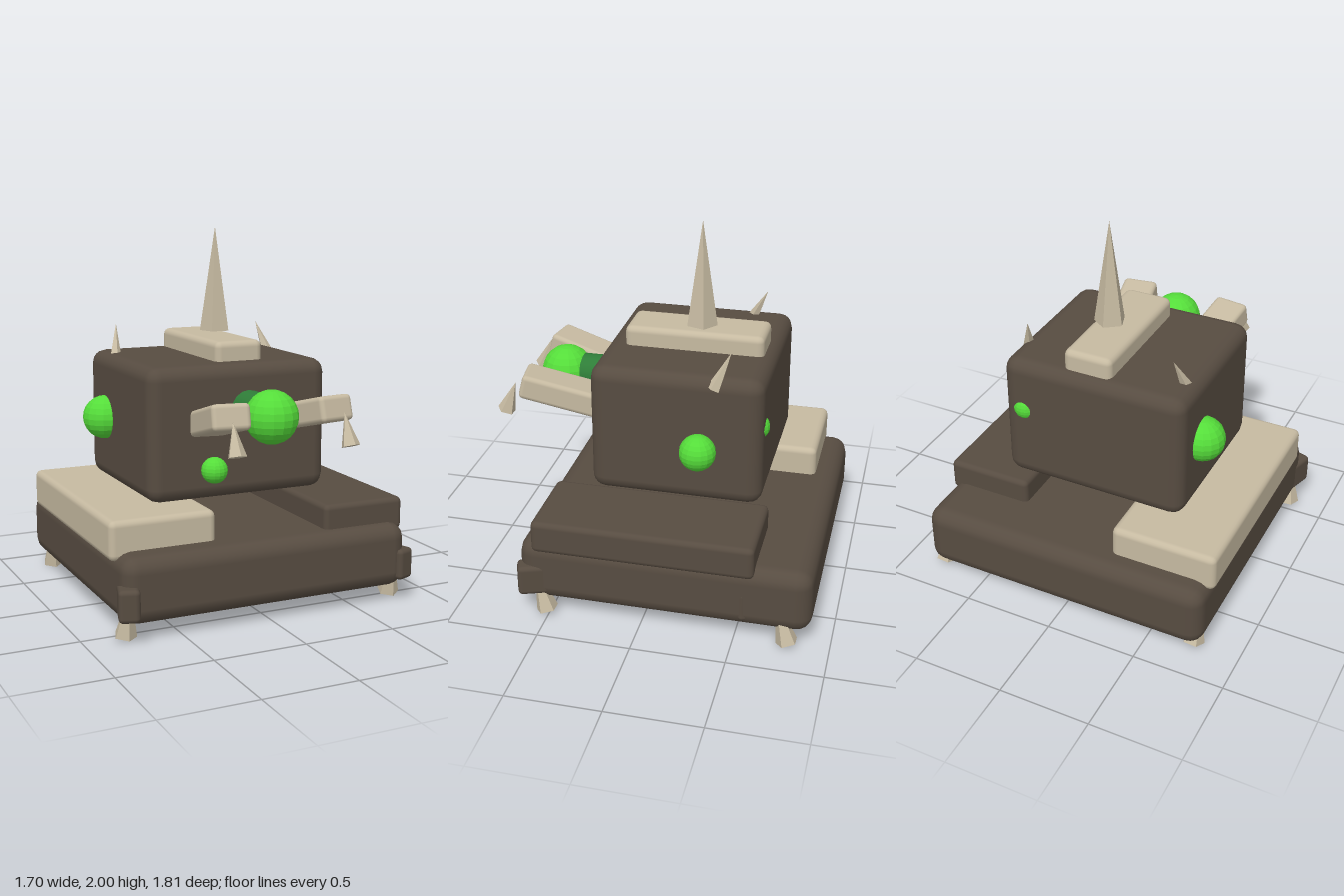
import * as THREE from 'three';
import { RoundedBoxGeometry } from 'three/addons/geometries/RoundedBoxGeometry.js';

const mat = (color, flatShading = false) => {
  const m = new THREE.MeshStandardMaterial({ color });
  m.flatShading = flatShading;
  return m;
};
const hide = mat(0x574c41), bone = mat(0xc6baa1), spike = mat(0xc6baa1, true);
const glow = mat(0x55dd3a, true), stem = mat(0x2f7d38);

export function createModel() {
  const group = new THREE.Group();
  const add = (name, geometry, material, position) => {
    const mesh = new THREE.Mesh(geometry, material);
    mesh.name = name;
    mesh.position.set(...position);
    group.add(mesh);
    return mesh;
  };

  // Rounded block given by its lower and upper corners
  const block = (name, lo, hi, radius, material) => {
    const size = hi.map((v, i) => v - lo[i]);
    return add(name, new RoundedBoxGeometry(...size, 2, radius), material, hi.map((v, i) => (v + lo[i]) / 2));
  };

  // Five-sided spike from the centre of its base to its tip
  const cone = (name, base, tip, radius, turn = 0) => {
    const from = new THREE.Vector3(...base), axis = new THREE.Vector3(...tip).sub(from);
    const length = axis.length();
    const geometry = new THREE.ConeGeometry(radius, length, 5).rotateY(turn).translate(0, length / 2, 0);
    const mesh = add(name, geometry, spike, base);
    mesh.quaternion.setFromUnitVectors(new THREE.Vector3(0, 1, 0), axis.normalize());
  };

  const ball = (name, position, radius) => add(name, new THREE.SphereGeometry(radius, 16, 12), glow, position);

  // Body and back plates
  block('base', [-0.82, 0.08, -0.9], [0.81, 0.43, 0.66], 0.085, hide);
  block('rightPlate', [-0.84, 0.38, -0.77], [-0.26, 0.59, 0.51], 0.035, bone);
  block('leftPlate', [0.34, 0.38, -0.6], [0.82, 0.56, 0.58], 0.03, hide);

  // Head with crest and horns
  block('head', [-0.56, 0.6, -0.57], [0.47, 1.31, 0.35], 0.075, hide);
  block('crest', [-0.135, 1.2, -0.51], [0.135, 1.415, 0.24], 0.035, bone);
  cone('mainHorn', [0.04, 1.43, -0.16], [0.04, 2, -0.16], 0.085, Math.PI);
  cone('leftHorn', [0.45, 1.25, -0.31], [0.405, 1.44, -0.39], 0.038);
  cone('rightHorn', [-0.49, 1.25, -0.33], [-0.445, 1.46, -0.435], 0.04);

  // Glowing snout and growths
  const neck = add('snoutStem', new THREE.CylinderGeometry(0.1, 0.1, 0.4, 16), stem, [0, 1.07, 0.43]);
  neck.rotation.x = Math.PI / 2;
  ball('snout', [0, 1.07, 0.61], 0.14);
  ball('rightGrowth', [-0.565, 0.96, -0.31], 0.12);
  ball('leftGrowth', [0.525, 0.92, -0.245], 0.096);
  ball('chinGrowth', [-0.21, 0.765, 0.375], 0.07);
  ball('backGrowth', [0.355, 1.02, -0.52], 0.07);

  // Mirrored jaws, angled up and outward, each with a claw
  for (const side of [1, -1]) {
    const label = side > 0 ? 'left' : 'right';
    const dir = new THREE.Vector3(0.15 * side, 0.26, 1).normalize();
    const centre = new THREE.Vector3(0.295 * side, 1.12, 0.765).addScaledVector(dir, -0.27);
    const jaw = add(label + 'Jaw', new RoundedBoxGeometry(0.2, 0.135, 0.54, 2, 0.025), bone, centre.toArray());
    jaw.lookAt(centre.clone().add(dir));
    cone(label + 'JawClaw', [0.315 * side, 0.94, 0.862], [0.31 * side, 1.105, 0.805], 0.05);
  }

  // Leg stubs (centre x, z, turn) and their toe claws (base x, z, tip x, z)
  const legs = [
    ['frontLeft', 0.77, 0.57, 0.35, 0.78, 0.515, 0.77, 0.58],
    ['frontRight', -0.78, 0.6, -0.3, -0.785, 0.56, -0.77, 0.6],
    ['backLeft', 0.73, -0.6, 0.4, 0.78, -0.78, 0.76, -0.71],
    ['backRight', -0.72, -0.79, -0.4, -0.74, -0.775, -0.76, -0.7],
  ];
  for (const [name, x, z, turn, bx, bz, tx, tz] of legs) {
    const leg = add(name + 'Leg', new RoundedBoxGeometry(0.11, 0.17, 0.2, 2, 0.025), hide, [x, 0.205, z]);
    leg.rotation.y = turn;
    cone(name + 'Claw', [bx, 0.015, bz], [tx, 0.27, tz], 0.06);
  }
  return group;
}
